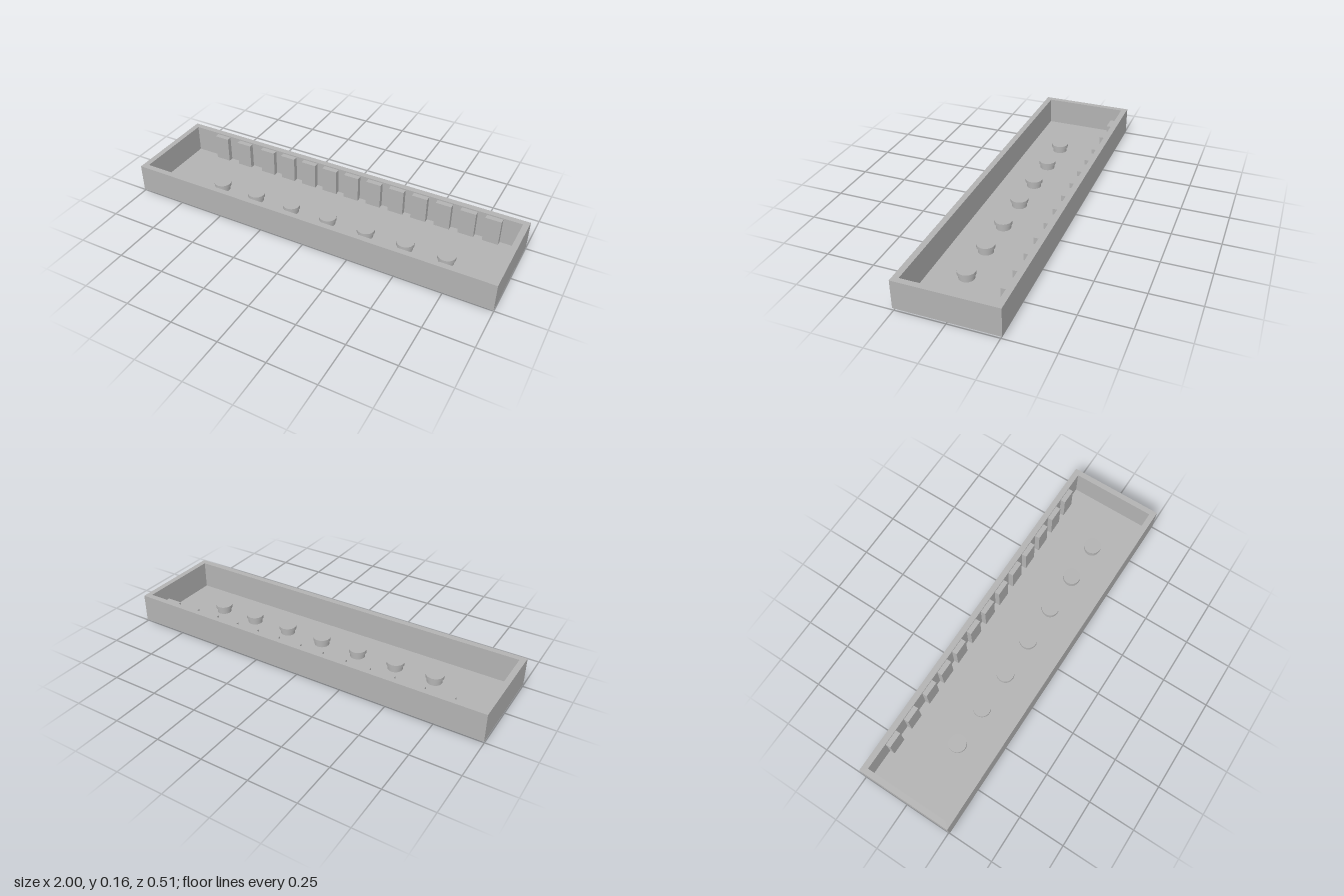
import * as THREE from 'three';

export function createModel() {
  const model = new THREE.Group();
  model.name = 'tray';
  const grey = new THREE.MeshStandardMaterial({ color: 0xb2b2b2 });
  grey.name = 'plain grey';

  const add = (name, geometry, x, y, z, parent = model) => {
    const mesh = new THREE.Mesh(geometry, grey);
    mesh.name = name;
    mesh.position.set(x, y, z);
    parent.add(mesh);
    return mesh;
  };

  // Rectangle outline centred on the origin
  const trace = (path, w, d) => {
    path.moveTo(-w, -d);
    path.lineTo(w, -d);
    path.lineTo(w, d);
    path.lineTo(-w, d);
    path.closePath();
    return path;
  };

  // Surrounding wall, open above and below
  const outline = trace(new THREE.Shape(), 1, 0.257);
  outline.holes.push(trace(new THREE.Path(), 0.97, 0.226));
  const wall = new THREE.ExtrudeGeometry(outline, { depth: 0.15, bevelEnabled: false });
  wall.rotateX(-Math.PI / 2);
  add('wall', wall, 0, 0.01, 0);

  // Floor plate, standing slightly proud below the wall
  add('floor', new THREE.BoxGeometry(1.94, 0.011, 0.452), 0, 0.0055, 0);

  // Row of upright blocks along the back wall
  const blockXs = [-0.787, -0.637];
  for (let i = 0; i < 11; i++) blockXs.push(-0.48 + i * 0.131);
  const block = new THREE.BoxGeometry(0.084, 0.153, 0.027);
  blockXs.forEach((x) => add('block', block, x, 0.0765, -0.2125));

  // Row of capped round pegs
  const stem = new THREE.CylinderGeometry(0.039, 0.039, 0.034, 40);
  const cap = new THREE.CylinderGeometry(0.046, 0.046, 0.018, 40);
  for (let i = 0; i < 7; i++) {
    const peg = new THREE.Group();
    peg.name = 'peg';
    peg.position.set(-0.62 + i * 0.2185, 0, 0.046);
    add('pegStem', stem, 0, 0.023, 0, peg);
    add('pegCap', cap, 0, 0.046, 0, peg);
    model.add(peg);
  }

  return model;
}
